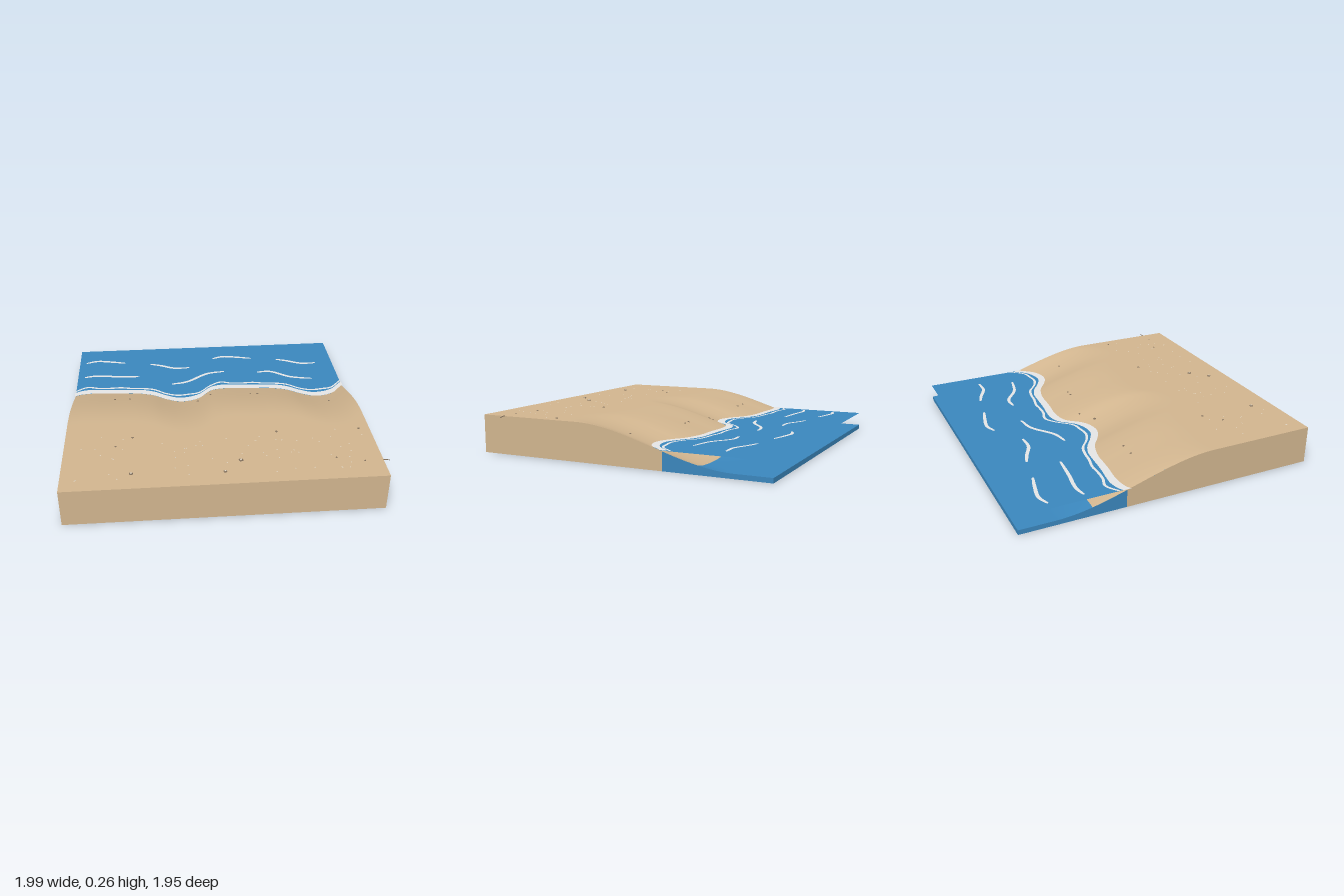
import * as THREE from 'three';

const X0 = -0.99, X1 = 0.96, Z0 = -0.98, Z1 = 0.97;
const PERIOD = 0.975, WATER_Y = 0.12;

// z of the shore and of the foam edges, sampled evenly over one period along x
const SHORE = [-0.295, -0.32, -0.322, -0.313, -0.308, -0.305, -0.29, -0.26, -0.205, -0.168, -0.168, -0.205];
const FOAM = [-0.34, -0.37, -0.368, -0.358, -0.352, -0.348, -0.34, -0.31, -0.255, -0.215, -0.218, -0.255];
const LINE = [-0.36, -0.41, -0.39, -0.385, -0.387, -0.37, -0.362, -0.34, -0.28, -0.248, -0.255, -0.275];

// Smooth periodic curve through the samples
function wave(samples, x) {
  const n = samples.length;
  const u = ((x - X0) / PERIOD) * n;
  const i = Math.floor(u), t = u - i;
  const p = (k) => samples[(((i + k) % n) + n) % n];
  const a = p(-1), b = p(0), c = p(1), d = p(2);
  return b + 0.5 * t * (c - a + t * (2 * a - 5 * b + 4 * c - d + t * (3 * (b - c) + d - a)));
}

// Beach profile, shifted in z so that it meets the water along the shore
function ground(x, z) {
  const shift = wave(SHORE, x) + 0.32;
  return 0.03 + 0.215 * THREE.MathUtils.smoothstep(z - shift, -0.78, 0.25);
}

// Strip between two rows of points; the second row lies nearer the front
function strip(back, front) {
  const pos = [], index = [];
  back.forEach((b, i) => {
    pos.push(...b, ...front[i]);
    if (i) {
      const k = 2 * i;
      index.push(k - 2, k - 1, k, k, k - 1, k + 1);
    }
  });
  const g = new THREE.BufferGeometry();
  g.setAttribute('position', new THREE.Float32BufferAttribute(pos, 3));
  g.setIndex(index);
  g.computeVertexNormals();
  return g;
}

// Strip along x between two curves z(x)
function band(zBack, zFront, y, x0 = X0, x1 = X1) {
  const back = [], front = [];
  for (let i = 0; i <= 160; i++) {
    const x = x0 + ((x1 - x0) * i) / 160;
    back.push([x, y, zBack(x)]);
    front.push([x, y, zFront(x)]);
  }
  return strip(back, front);
}

// Flat tapered stroke along a few [x, z] points
function stroke(points, width, y) {
  const curve = new THREE.CatmullRomCurve3(points.map(([x, z]) => new THREE.Vector3(x, y, z)));
  const back = [], front = [], n = 28;
  for (let i = 0; i <= n; i++) {
    const p = curve.getPoint(i / n), t = curve.getTangent(i / n);
    const w = (width / 2) * (0.5 + 0.5 * Math.sqrt(Math.sin((Math.PI * i) / n) + 1e-9));
    back.push([p.x + t.z * w, y, p.z - t.x * w]);
    front.push([p.x - t.z * w, y, p.z + t.x * w]);
  }
  return strip(back, front);
}

// Patch of ground surface
function groundPatch(z0, z1, rows) {
  const g = new THREE.PlaneGeometry(X1 - X0, z1 - z0, 96, rows);
  g.rotateX(-Math.PI / 2).translate((X0 + X1) / 2, 0, (z0 + z1) / 2);
  const p = g.attributes.position;
  for (let i = 0; i < p.count; i++) p.setY(i, ground(p.getX(i), p.getZ(i)));
  g.computeVertexNormals();
  return g;
}

// Upright side wall under the ground profile
function sideWall(x, z0, z1) {
  const back = [], front = [], n = 40;
  for (let i = 0; i <= n; i++) {
    const z = z0 + ((z1 - z0) * i) / n;
    back.push([x, ground(x, z), z]);
    front.push([x, 0, z]);
  }
  return x > 0 ? strip(front, back) : strip(back, front);
}

export function createModel() {
  const group = new THREE.Group();
  const material = (name, color, side = THREE.FrontSide) => {
    const m = new THREE.MeshStandardMaterial({ color, side });
    m.name = name;
    return m;
  };
  const sand = material('sand', 0xd0b48e, THREE.DoubleSide);
  const water = material('water', 0x3a86bc, THREE.DoubleSide);
  const foam = material('foam', 0xe4e4e4, THREE.DoubleSide);
  const stone = material('stone', 0x85735f);
  const shell = material('shell', 0xddd2c0);
  const add = (name, geometry, mat, parent = group) => {
    const mesh = new THREE.Mesh(geometry, mat);
    mesh.name = name;
    parent.add(mesh);
    return mesh;
  };
  const addGroup = (name) => {
    const g = new THREE.Group();
    g.name = name;
    group.add(g);
    return g;
  };

  // Ground block
  add('beach', groundPatch(-0.53, Z1, 80), sand);
  add('seabed', groundPatch(Z0, -0.53, 20), water);
  for (const x of [X0, X1]) {
    add('sandSide', sideWall(x, -0.31, Z1), sand);
    add('waterSide', sideWall(x, Z0, -0.31), water);
  }
  add('frontWall', strip([[X0, 0.245, Z1], [X1, 0.245, Z1]], [[X0, 0, Z1], [X1, 0, Z1]]), sand);
  add('backWall', strip([[X0, 0, Z0], [X1, 0, Z0]], [[X0, 0.03, Z0], [X1, 0.03, Z0]]), water);
  add('base', strip([[X0, 0, Z1], [X1, 0, Z1]], [[X0, 0, Z0], [X1, 0, Z0]]), water);

  // Water sheet with foam on it
  add('waterSurface', band(() => Z0, (x) => wave(SHORE, x), WATER_Y), water);
  add('shoreFoam', band((x) => wave(FOAM, x), (x) => wave(SHORE, x) + 0.004, WATER_Y + 0.004, X0 - 0.006, X1 + 0.006), foam);
  add('foamLine', band((x) => wave(LINE, x) - 0.009, (x) => wave(LINE, x) + 0.009, WATER_Y + 0.003), foam);
  const waves = addGroup('waves');
  [
    [[-0.94, -0.78], [-0.86, -0.806], [-0.75, -0.788], [-0.64, -0.76]],
    [[-0.45, -0.73], [-0.37, -0.7], [-0.26, -0.65], [-0.15, -0.65]],
    [[0.04, -0.78], [0.12, -0.806], [0.23, -0.788], [0.34, -0.76]],
    [[0.53, -0.73], [0.61, -0.7], [0.72, -0.65], [0.83, -0.65]],
    [[-0.94, -0.56], [-0.86, -0.575], [-0.7, -0.555], [-0.53, -0.54]],
    [[-0.29, -0.41], [-0.18, -0.435], [-0.02, -0.545], [0.11, -0.57]],
    [[0.36, -0.54], [0.46, -0.54], [0.6, -0.45], [0.76, -0.41]],
  ].forEach((pts) => add('waveCrest', stroke(pts, 0.023, WATER_Y + 0.003), foam, waves));

  // Pebbles: x, z, radius
  const pebbles = addGroup('pebbles');
  const rock = new THREE.DodecahedronGeometry(1);
  [
    [-0.57, 0.83, 0.014], [-0.01, 0.85, 0.014], [0.095, 0.745, 0.016], [0.68, 0.765, 0.008],
    [-0.67, 0.54, 0.008], [-0.565, 0.45, 0.009], [0.355, 0.455, 0.01], [0.89, 0.46, 0.009],
    [-0.7, -0.14, 0.009], [-0.595, -0.14, 0.009], [-0.115, -0.12, 0.011], [0.26, -0.14, 0.008],
    [0.31, -0.14, 0.008], [0.8, -0.01, 0.008], [-0.02, -0.19, 0.008], [0.845, 0.81, 0.007],
  ].forEach(([x, z, r], i) => {
    const mesh = add('pebble', rock, stone, pebbles);
    mesh.position.set(x, ground(x, z), z);
    mesh.scale.set(r, r * 0.6, r * 0.85);
    mesh.rotation.y = i * 1.3;
    if (r > 0.012) {
      const top = add('pebbleTop', rock, shell, pebbles);
      top.position.set(x, ground(x, z) + r * 0.35, z);
      top.scale.set(r * 0.5, r * 0.35, r * 0.5);
    }
  });

  // Small twig over the side edge
  const twig = add('twig', new THREE.CylinderGeometry(0.003, 0.003, 0.04, 5), stone);
  twig.rotation.z = Math.PI / 2 - 0.15;
  twig.position.set(0.978, 0.244, 0.81);

  // Shell specks scattered over the dry sand
  let seed = 7;
  const random = () => (seed = (seed * 16807) % 2147483647) / 2147483647;
  const specks = addGroup('specks');
  const speck = new THREE.OctahedronGeometry(0.005);
  for (let i = 0; i < 60; i++) {
    const x = -0.9 + 1.8 * random(), z = 0.43 + 0.48 * random();
    const mesh = add('speck', speck, shell, specks);
    mesh.position.set(x, ground(x, z), z);
    mesh.scale.y = 0.5;
  }
  return group;
}
